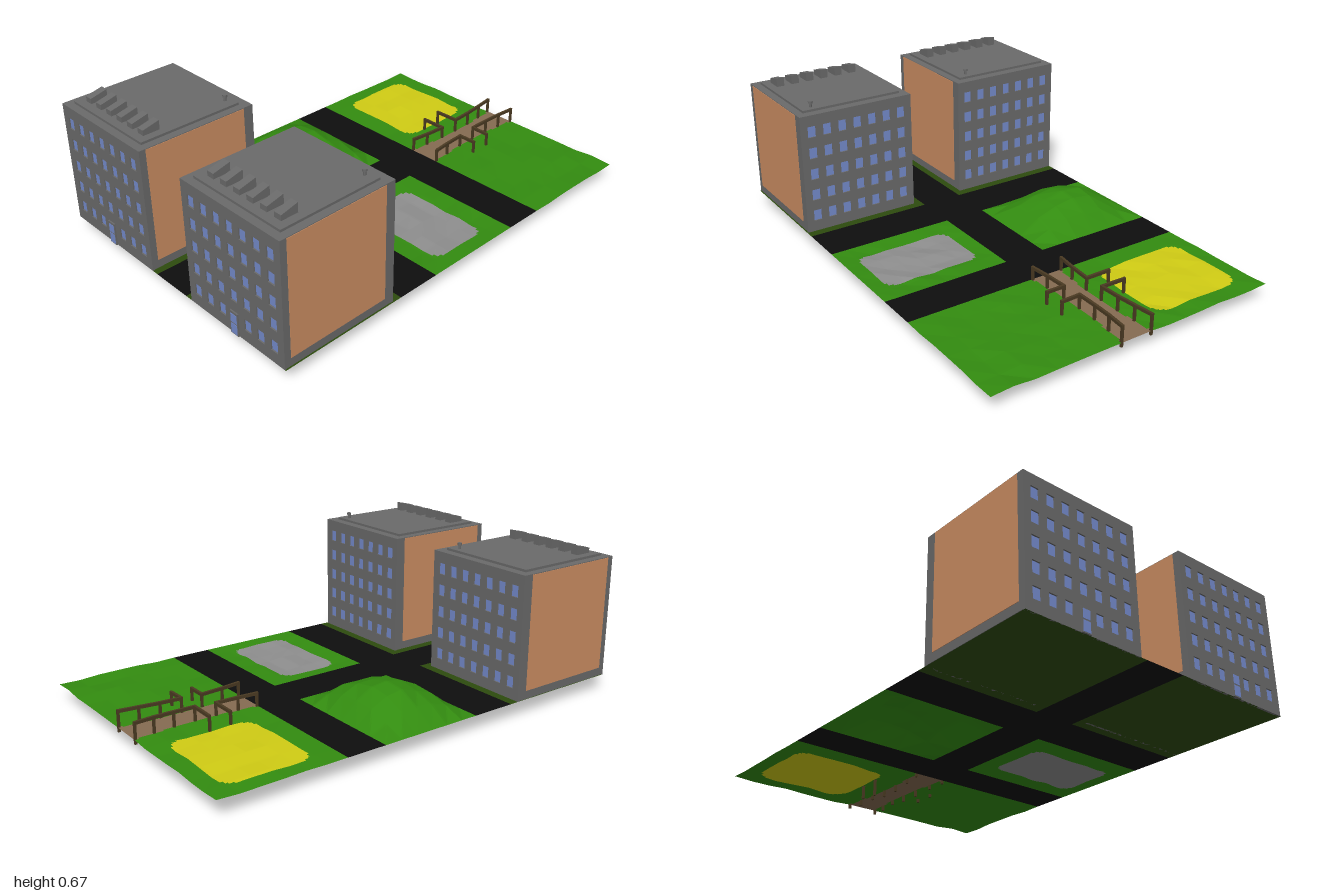
import * as THREE from 'three';

const mat = (name, color, side = THREE.FrontSide) => {
  const m = new THREE.MeshStandardMaterial({ color, side });
  m.name = name;
  return m;
};
const wall = mat('concreteGrey', 0x6a6a6a);
const panel = mat('terracotta', 0xcb8d62);
const glass = mat('windowBlue', 0x748acb);
const wood = mat('darkWood', 0x4a3a22);
const soil = {
  asphalt: mat('asphaltBlack', 0x0e0e0e, THREE.DoubleSide),
  grass: mat('grassGreen', 0x338c10, THREE.DoubleSide),
  lawn: mat('darkLawn', 0x2d4b0e, THREE.DoubleSide),
  sand: mat('sandYellow', 0xd0cc14, THREE.DoubleSide),
  gravel: mat('gravelGrey', 0x8e8e8e, THREE.DoubleSide),
  path: mat('pathBrown', 0x856b52, THREE.DoubleSide),
};
const BASE = 0.075;

function add(parent, name, geometry, material, x = 0, y = 0, z = 0) {
  const m = new THREE.Mesh(geometry, material);
  m.name = name;
  m.position.set(x, y, z);
  parent.add(m);
  return m;
}
const box = (w, h, d) => new THREE.BoxGeometry(w, h, d);

// Repeatable noise in -1..1
const noise = (i, j) => {
  const s = Math.sin(i * 127.1 + j * 311.7) * 43758.5453;
  return (s - Math.floor(s)) * 2 - 1;
};

const inRounded = (x, z, cx, cz, hx, hz, r) => {
  const dx = Math.max(Math.abs(x - cx) - hx + r, 0);
  const dz = Math.max(Math.abs(z - cz) - hz + r, 0);
  return Math.hypot(dx, dz) <= r;
};
const pathHalf = (z) => 0.055 + 0.018 * ((z + 0.72) / 0.28) ** 2;

// Which surface covers a spot of ground
function zone(x, z) {
  if (z < -0.44) {
    if (Math.abs(x - 0.015) < pathHalf(z)) return 'path';
    return inRounded(x, z, -0.38, -0.73, 0.22, 0.19, 0.06) ? 'sand' : 'grass';
  }
  if (z < -0.26 || (z > 0.21 && z < 0.41) || (x > -0.1 && x < 0.09)) return 'asphalt';
  if (z > 0.4) return 'lawn';
  return inRounded(x, z, 0.38, -0.02, 0.22, 0.14, 0.05) ? 'gravel' : 'grass';
}

// Uneven plots: bounds, lattice divisions and height rule over u, v in -1..1
const plots = [
  { x0: -0.67, x1: -0.1, z0: -0.26, z1: 0.21, nx: 6, nz: 6,
    h: (u, v, i, j) => (1 - u * u) * (1 - v * v) * (0.117 + 0.012 * noise(i, j)) },
  { x0: 0.09, x1: 0.67, z0: -0.26, z1: 0.21, nx: 8, nz: 6,
    h: (u, v, i, j) => (1 - u ** 4) * (1 - v ** 4) * (-0.006 + 0.006 * noise(i, j + 20)) },
  { x0: -0.67, x1: -0.06, z0: -1, z1: -0.44, nx: 7, nz: 6,
    h: (u, v, i, j) => (1 - v) * (1 - u) * 0.5 > 0 ? 0.005 * noise(i + 30, j) : 0 },
  { x0: 0.09, x1: 0.67, z0: -1, z1: -0.44, nx: 6, nz: 6,
    h: (u, v, i, j) => (1 - v) * (1 + u) * 0.5 > 0 ? 0.005 * noise(i + 50, j) : 0 },
];

function groundHeight(x, z) {
  const e = 1e-6;
  for (const p of plots) {
    if (x < p.x0 - e || x > p.x1 + e || z < p.z0 - e || z > p.z1 + e) continue;
    const a = (x - p.x0) / (p.x1 - p.x0) * p.nx;
    const b = (z - p.z0) / (p.z1 - p.z0) * p.nz;
    const i = Math.max(0, Math.min(p.nx - 1, Math.floor(a)));
    const j = Math.max(0, Math.min(p.nz - 1, Math.floor(b)));
    const at = (m, n) => p.h(m / p.nx * 2 - 1, n / p.nz * 2 - 1, m, n);
    const f = a - i, g = b - j;
    const h00 = at(i, j), h11 = at(i + 1, j + 1);
    if (f > g) {
      const h10 = at(i + 1, j);
      return BASE + h00 + f * (h10 - h00) + g * (h11 - h10);
    }
    const h01 = at(i, j + 1);
    return BASE + h00 + g * (h01 - h00) + f * (h11 - h01);
  }
  return BASE;
}

// Ground sheet on a fine grid, split into one mesh per surface
function buildGround(root) {
  const ground = new THREE.Group();
  ground.name = 'ground';
  root.add(ground);
  const s = 0.01, nx = 134, nz = 199;
  const lists = {};
  const pt = (i, j) => {
    const x = -0.67 + i * s, z = -1 + j * s;
    return [x, groundHeight(x, z), z];
  };
  for (let i = 0; i < nx; i++) {
    for (let j = 0; j < nz; j++) {
      const key = zone(-0.67 + (i + 0.5) * s, -1 + (j + 0.5) * s);
      const a = pt(i, j), b = pt(i, j + 1), c = pt(i + 1, j + 1), d = pt(i + 1, j);
      (lists[key] ??= []).push(...a, ...b, ...c, ...a, ...c, ...d);
    }
  }
  for (const key in lists) {
    const g = new THREE.BufferGeometry();
    g.setAttribute('position', new THREE.Float32BufferAttribute(lists[key], 3));
    g.computeVertexNormals();
    add(ground, key, g, soil[key]);
  }
}

// Outer wall with window openings, and glass set behind them
function facade(hasDoor) {
  const g = new THREE.Group();
  g.name = hasDoor ? 'frontFacade' : 'backFacade';
  const shape = new THREE.Shape([[-0.27, 0], [0.27, 0], [0.27, 0.545], [-0.27, 0.545]]
    .map(([x, y]) => new THREE.Vector2(x, y)));
  const w = 0.019, h = 0.025;
  for (let c = -3; c <= 3; c++) {
    for (let r = 0; r < 5; r++) {
      if (hasDoor && c === 0 && r === 0) continue;
      const x = c * 0.0725, y = 0.075 + r * 0.0985;
      shape.holes.push(new THREE.Path([[x - w, y - h], [x - w, y + h], [x + w, y + h], [x + w, y - h]]
        .map(([px, py]) => new THREE.Vector2(px, py))));
      add(g, 'window', box(w * 2, h * 2, 0.004), glass, x, y, 0.262);
    }
  }
  add(g, 'wall', new THREE.ExtrudeGeometry(shape, { depth: 0.01, bevelEnabled: false }), wall, 0, 0, 0.26);
  if (hasDoor) {
    add(g, 'doorFrame', box(0.044, 0.102, 0.008), wall, 0, 0.051, 0.272);
    add(g, 'doorPanel', box(0.034, 0.044, 0.002), glass, 0, 0.026, 0.2765);
    add(g, 'doorWindow', box(0.034, 0.038, 0.002), glass, 0, 0.073, 0.2765);
  }
  return g;
}

function building(x) {
  const b = new THREE.Group();
  b.name = 'apartmentBlock';
  b.position.set(x, BASE, 0.72);
  add(b, 'core', box(0.54, 0.543, 0.52), wall, 0, 0.2735, 0);
  b.add(facade(true));
  const back = facade(false);
  back.rotation.y = Math.PI;
  b.add(back);
  for (const s of [-1, 1]) add(b, 'sidePanel', box(0.004, 0.503, 0.465), panel, s * 0.27, 0.2905, 0.008);

  // Roof slab, sloped vents and a capped pipe
  add(b, 'roofSlab', box(0.47, 0.011, 0.465), wall, 0, 0.55, 0.003);
  const profile = new THREE.Shape([[-0.2, 0.555], [-0.125, 0.555], [-0.125, 0.596], [-0.2, 0.578]]
    .map(([px, py]) => new THREE.Vector2(px, py)));
  const ventGeo = new THREE.ExtrudeGeometry(profile, { depth: 0.035, bevelEnabled: false });
  for (let i = 0; i < 6; i++) {
    const v = add(b, 'roofVent', ventGeo, wall, (i - 2.5) * 0.0725 - 0.0175, 0, 0);
    v.rotation.y = Math.PI / 2;
  }
  add(b, 'roofPipe', new THREE.CylinderGeometry(0.006, 0.006, 0.025, 10), wall, 0.185, 0.567, -0.2);
  add(b, 'pipeCap', new THREE.CylinderGeometry(0.01, 0.01, 0.01, 10), wall, 0.185, 0.578, -0.2);
  return b;
}

// Fence run: a beam between neighbouring points with a post at each
function fence(root, points, name) {
  const g = new THREE.Group();
  g.name = name;
  root.add(g);
  points.forEach(([x, top, z, bottom], i) => {
    add(g, 'post', box(0.01, top - bottom, 0.01), wood, x, (top + bottom) / 2, z);
    if (!i) return;
    const a = new THREE.Vector3(...points[i - 1].slice(0, 3)), b = new THREE.Vector3(x, top, z);
    const rail = add(g, 'rail', box(0.011, 0.013, a.distanceTo(b) + 0.01), wood);
    rail.position.copy(a).lerp(b, 0.5);
    rail.lookAt(b);
  });
}

export function createModel() {
  const root = new THREE.Group();
  root.name = 'cityBlock';
  buildGround(root);
  root.add(building(-0.4), building(0.395));

  for (const s of [-1, 1]) {
    const edge = (z) => 0.015 + s * pathHalf(z);
    const out = s < 0 ? -0.155 : 0.155;
    fence(root, [[edge(-0.445), 0.132, -0.445, 0.06], [edge(-0.53), 0.131, -0.53, 0.055],
      [edge(-0.63), 0.13, -0.63, 0.045], [out, 0.13, -0.63, s < 0 ? 0 : 0.06]], 'nearFence');
    fence(root, [[edge(-0.995), 0.143, -0.995, 0.055], [edge(-0.91), 0.142, -0.91, 0.05],
      [edge(-0.82), 0.139, -0.82, 0.055], [edge(-0.725), 0.137, -0.725, 0.045],
      [out, 0.135, -0.725, s < 0 ? 0.01 : 0.06]], 'farFence');
  }
  return root;
}
